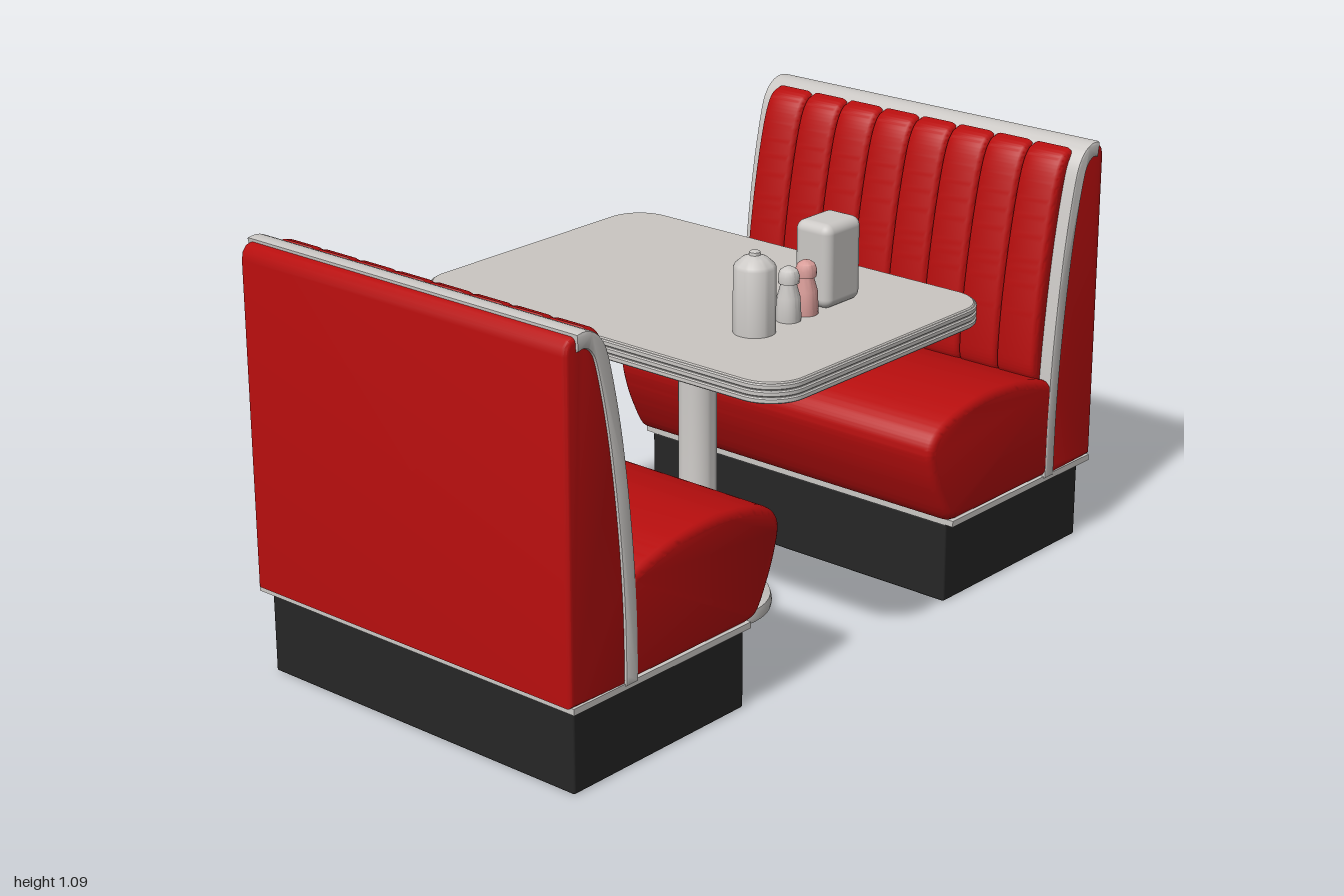
import * as THREE from 'three';
import { toCreasedNormals } from 'three/addons/utils/BufferGeometryUtils.js';
import { RoundedBoxGeometry } from 'three/addons/geometries/RoundedBoxGeometry.js';

const mat = (name, color) => Object.assign(new THREE.MeshStandardMaterial({ color }), { name });
const V = (x, y) => new THREE.Vector2(x, y);
const pts = (list) => list.map(([x, y]) => V(x, y));

export function createModel() {
  const red = mat('red vinyl', 0xb80e0e);
  const black = mat('black plinth', 0x262626);
  const chrome = mat('chrome', 0xccc9c6);
  const laminate = mat('table laminate', 0xcac6c2);
  const pink = mat('pink shaker', 0xd89c98);

  const model = new THREE.Group();
  model.name = 'dinerBooth';

  const add = (parent, name, geometry, material, x = 0, y = 0, z = 0) => {
    const mesh = new THREE.Mesh(geometry, material);
    mesh.name = name;
    mesh.position.set(x, y, z);
    parent.add(mesh);
    return mesh;
  };

  // Extrusion centred on z, keeping the outline size, with rounded ends
  const extrude = (shape, width, bevel, segments = 3) => {
    const g = new THREE.ExtrudeGeometry(shape, {
      depth: width - 2 * bevel, bevelEnabled: bevel > 0, bevelSize: bevel, bevelThickness: bevel,
      bevelOffset: -bevel, bevelSegments: segments, curveSegments: 10,
    });
    g.translate(0, 0, -width / 2 + bevel);
    return toCreasedNormals(g, 0.7);
  };

  const lathe = (profile, segments = 32) =>
    toCreasedNormals(new THREE.LatheGeometry(pts(profile), segments), 0.6);

  // Centre line of the chrome strip that runs up the bench back and over its top
  const stripLine = new THREE.SplineCurve(pts([
    [-0.805, 0.22], [-0.808, 0.4], [-0.822, 0.6], [-0.85, 0.82],
    [-0.885, 0.99], [-0.908, 1.045], [-0.94, 1.066], [-0.968, 1.064],
  ]));
  const line = stripLine.getPoints(36);
  const offsetLine = (d) => line.map((p, i) => {
    const t = stripLine.getTangent(i / 36);
    return V(p.x + t.y * d, p.y - t.x * d);
  });
  const stripShape = new THREE.Shape([...offsetLine(0.02), ...offsetLine(-0.02).reverse()]);

  // Red shell behind the strip
  const shellShape = new THREE.Shape([
    V(-1, 0.225), ...line.slice(0, 34), ...pts([[-0.965, 1.078], [-0.985, 1.073], [-0.996, 1.06], [-1, 1.04]]),
  ]);

  // Padded back channel
  const channelShape = new THREE.Shape();
  channelShape.moveTo(-0.83, 0.46);
  channelShape.lineTo(-0.785, 0.47);
  channelShape.splineThru(pts([
    [-0.764, 0.5], [-0.762, 0.56], [-0.772, 0.68], [-0.793, 0.82], [-0.82, 0.95],
    [-0.843, 1.025], [-0.868, 1.062], [-0.9, 1.074],
  ]));
  channelShape.lineTo(-0.918, 1.055);
  channelShape.splineThru(pts([[-0.89, 1.0], [-0.855, 0.82], [-0.835, 0.65], [-0.83, 0.46]]));

  // Rounded seat cushion
  const seatShape = new THREE.Shape();
  seatShape.moveTo(-0.82, 0.225);
  seatShape.lineTo(-0.41, 0.225);
  seatShape.splineThru(pts([
    [-0.365, 0.24], [-0.325, 0.31], [-0.298, 0.38], [-0.288, 0.44], [-0.315, 0.483],
    [-0.39, 0.514], [-0.51, 0.531], [-0.64, 0.524], [-0.74, 0.502], [-0.82, 0.475],
  ]));

  const shellGeo = extrude(shellShape, 1.016, 0.012);
  const stripGeo = extrude(stripShape, 1.03, 0.006, 2);
  const channelGeo = extrude(channelShape, 0.12, 0.018, 4);
  const seatGeo = extrude(seatShape, 1.026, 0.022, 4);

  // Two facing benches
  ['rightBench', 'leftBench'].forEach((name, i) => {
    const bench = new THREE.Group();
    bench.name = name;
    bench.position.z = -0.02;
    bench.rotation.y = i * Math.PI;
    model.add(bench);
    add(bench, 'plinth', new RoundedBoxGeometry(0.58, 0.212, 0.976, 2, 0.006), black, -0.682, 0.106);
    add(bench, 'baseTrim', new THREE.BoxGeometry(0.6, 0.016, 1.02), chrome, -0.692, 0.218);
    add(bench, 'backShell', shellGeo, red);
    add(bench, 'backTrim', stripGeo, chrome);
    add(bench, 'seatCushion', seatGeo, red);
    for (let k = 0; k < 8; k++) {
      add(bench, 'backChannel', channelGeo, red, 0, 0, (k - 3.5) * 0.12);
    }
  });

  // Table top: laminate slab with a ribbed chrome edge
  const slab = (hx, hz, r, height) => {
    const s = new THREE.Shape();
    s.absarc(hx - r, hz - r, r, 0, Math.PI / 2);
    s.absarc(-hx + r, hz - r, r, Math.PI / 2, Math.PI);
    s.absarc(-hx + r, -hz + r, r, Math.PI, Math.PI * 1.5);
    s.absarc(hx - r, -hz + r, r, Math.PI * 1.5, Math.PI * 2);
    return extrude(s, height, 0.003, 1).rotateX(-Math.PI / 2);
  };
  const table = new THREE.Group();
  table.name = 'table';
  model.add(table);
  add(table, 'tableTop', slab(0.406, 0.573, 0.096, 0.05), laminate, -0.003, 0.801);
  for (const y of [0.7825, 0.799, 0.8155]) {
    add(table, 'tableEdgeBand', slab(0.411, 0.578, 0.1, 0.0145), chrome, -0.003, y);
  }

  // Pedestal with flared foot
  add(table, 'pedestal', lathe([
    [0, 0], [0.185, 0], [0.187, 0.012], [0.183, 0.03], [0.15, 0.042], [0.11, 0.06], [0.08, 0.085],
    [0.066, 0.102], [0.05, 0.106], [0.048, 0.115], [0.048, 0.78],
  ], 40), chrome, -0.013);

  // Things on the table
  const items = new THREE.Group();
  items.name = 'tableItems';
  items.position.y = 0.825;
  model.add(items);
  add(items, 'napkinBox', new RoundedBoxGeometry(0.135, 0.21, 0.108, 4, 0.024), chrome, 0.146, 0.104, 0.275);
  add(items, 'sugarJar', lathe([
    [0, 0], [0.051, 0], [0.051, 0.16], [0.047, 0.168], [0.03, 0.183], [0.014, 0.19],
    [0.013, 0.197], [0.009, 0.2], [0, 0.201],
  ]), chrome, -0.146, 0, 0.29);
  [[-0.03, chrome], [0.035, pink]].forEach(([x, material]) => {
    add(items, 'shakerBody', lathe([
      [0, 0], [0.03, 0], [0.031, 0.01], [0.028, 0.06], [0.02, 0.088], [0.02, 0.1], [0, 0.1],
    ], 20), material, x, 0, 0.298);
    add(items, 'shakerCap', lathe([
      [0, 0.094], [0.025, 0.094], [0.026, 0.112], [0.021, 0.125], [0.011, 0.132], [0, 0.134],
    ], 20), material === pink ? pink : chrome, x, 0, 0.298);
  });

  return model;
}
